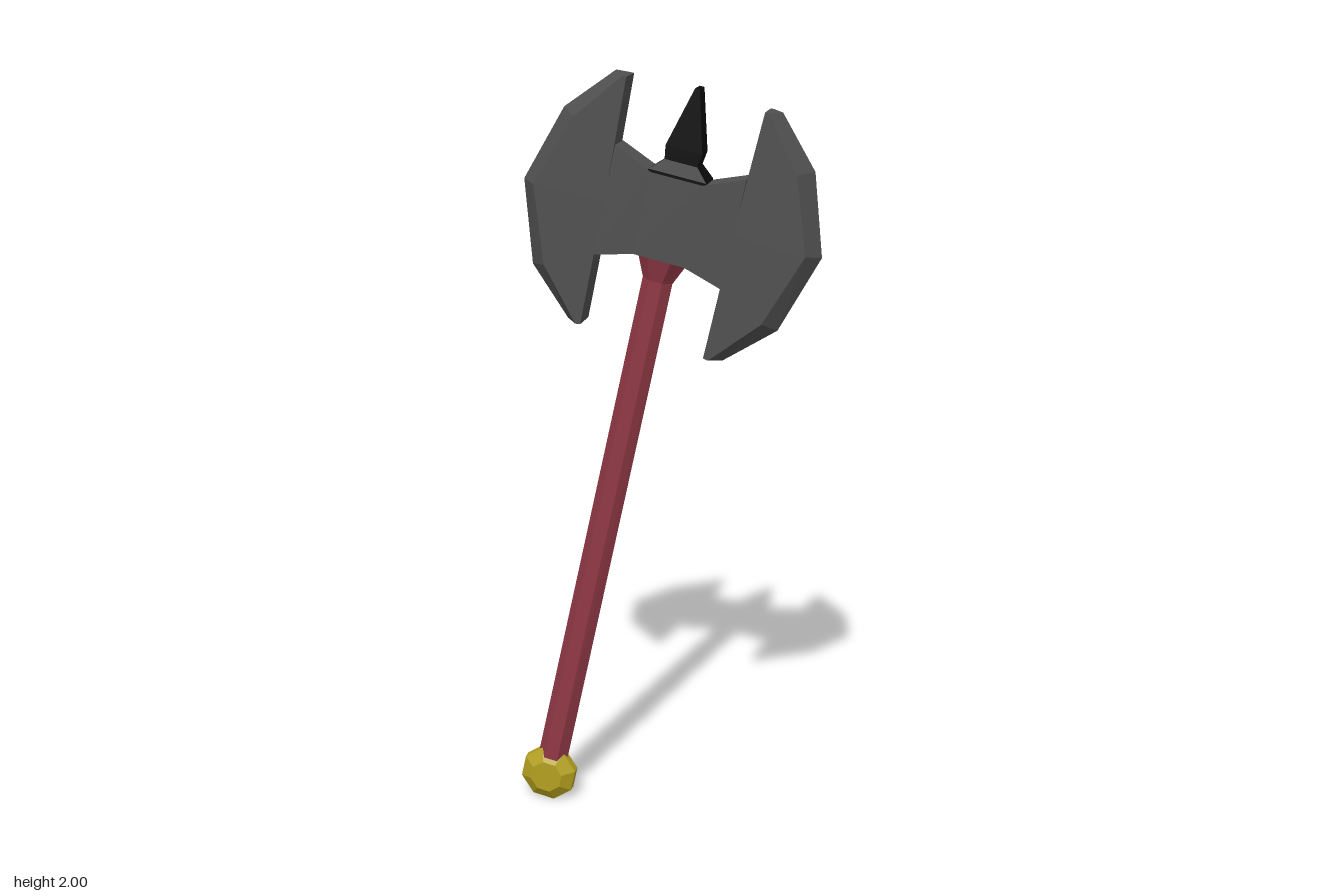
import * as THREE from 'three';

const paint = (name, color) => {
  const m = new THREE.MeshStandardMaterial({ color, flatShading: true });
  m.name = name;
  return m;
};

// Skin a list of equal-length rings of [x, y, z] points, capping both ends.
function loft(rings) {
  const n = rings[0].length, pos = [], tris = [];
  const tri = (a, b, c) => tris.push([a, b, c]);
  for (let k = 0; k < rings.length - 1; k++) {
    for (let i = 0; i < n; i++) {
      const j = (i + 1) % n, r = rings[k], s = rings[k + 1];
      tri(r[i], r[j], s[j]);
      tri(r[i], s[j], s[i]);
    }
  }
  const first = rings[0], last = rings[rings.length - 1];
  for (let i = 1; i < n - 1; i++) {
    tri(first[0], first[i + 1], first[i]);
    tri(last[0], last[i], last[i + 1]);
  }
  // Turn the faces outward if the rings ran the other way
  const ref = new THREE.Vector3(...first[0]);
  let volume = 0;
  for (const t of tris) {
    const [a, b, c] = t.map(p => new THREE.Vector3(...p).sub(ref));
    volume += a.dot(b.cross(c));
  }
  for (const [a, b, c] of tris) pos.push(...a, ...(volume < 0 ? [...c, ...b] : [...b, ...c]));
  const g = new THREE.BufferGeometry();
  g.setAttribute('position', new THREE.Float32BufferAttribute(pos, 3));
  g.computeVertexNormals();
  return g;
}

export function createModel() {
  const steel = paint('dark steel', 0x505050);
  const red = paint('red grip', 0x903845);
  const gold = paint('gold', 0xb3a020);
  const black = paint('black iron', 0x0b0b0b);

  const model = new THREE.Group();
  model.name = 'battleAxe';
  model.rotation.y = 0.253;
  const axe = new THREE.Group();
  axe.name = 'tiltedAxe';
  axe.position.x = -0.335;
  axe.rotation.z = -0.2164;
  model.add(axe);
  const add = (name, rings, material) => {
    const mesh = new THREE.Mesh(loft(rings), material);
    mesh.name = name;
    axe.add(mesh);
  };

  // Blades: inner edge, flat outer edge and sharp edge at each station
  const T = 0.039;
  const stations = [
    [[0.175, 2.0], [0.184, 2.0], [0.212, 2.004]],
    [[0.17, 1.832], [0.286, 1.873], [0.322, 1.885]],
    [[0.167, 1.69], [0.352, 1.684], [0.388, 1.684]],
    [[0.165, 1.55], [0.286, 1.491], [0.324, 1.476]],
    [[0.163, 1.366], [0.176, 1.364], [0.206, 1.362]],
  ];
  for (const [name, s] of [['leftBlade', 1], ['rightBlade', -1]]) {
    add(name, stations.map(([i, f, e]) => [
      [s * i[0], i[1], T], [s * f[0], f[1], T], [s * e[0], e[1], 0],
      [s * f[0], f[1], -T], [s * i[0], i[1], -T],
    ]), steel);
  }

  // Hub joining the blades: x, bottom, top, half thickness
  add('hub', [
    [-0.168, 1.55, 1.832, T], [-0.066, 1.58, 1.79, 0.043],
    [0.066, 1.58, 1.79, 0.043], [0.168, 1.55, 1.832, T],
  ].map(([x, b, t, z]) => [[x, b, z], [x, t, z], [x, t, -z], [x, b, -z]]), steel);

  // Top spike on a flared foot: height, half width, half thickness
  add('spike', [
    [1.785, 0.075, 0.041], [1.797, 0.074, 0.041], [1.828, 0.042, 0.03],
    [1.862, 0.047, 0.03], [2.012, 0.006, 0.026],
  ].map(([y, x, z]) => [[-x, y, z], [x, y, z], [x, y, -z], [-x, y, -z]]), black);

  // Six-sided handle flaring into the head
  add('handle', [
    [0.1, 0.041, 0.027], [1.52, 0.039, 0.022], [1.585, 0.068, 0.04],
  ].map(([y, x, z]) => [
    [-x, y, 0], [-x * 0.45, y, z], [x * 0.45, y, z],
    [x, y, 0], [x * 0.45, y, -z], [-x * 0.45, y, -z],
  ]), red);

  // Faceted pommel: depth and radius of each octagon
  add('pommel', [[-0.035, 0.045], [-0.012, 0.078], [0.012, 0.078], [0.035, 0.045]]
    .map(([z, r]) => Array.from({ length: 8 }, (_, i) => {
      const a = (i + 0.5) * Math.PI / 4;
      return [r * Math.cos(a), 0.081 + r * Math.sin(a), z];
    })), gold);

  return model;
}
